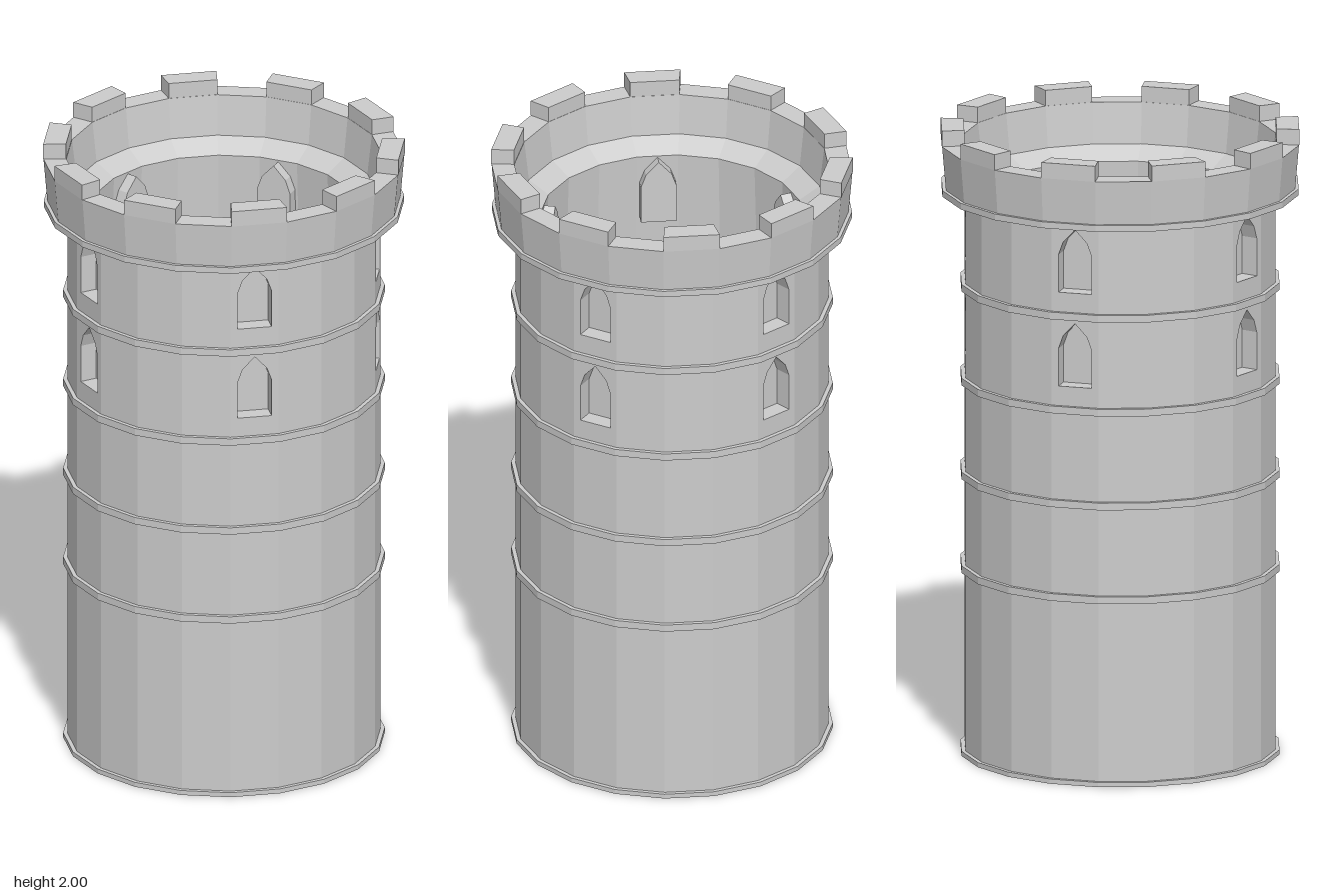
import * as THREE from 'three';
import { mergeGeometries } from 'three/addons/utils/BufferGeometryUtils.js';

const SIDES = 20;
const STEP = (Math.PI * 2) / SIDES;
const HALF = STEP / 2;
const WALL_R = 0.487;
const WALL_FACE = WALL_R * Math.cos(HALF); // distance from the axis to a flat wall face
const WINDOW_SILLS = [1.27, 1.57];

const stone = new THREE.MeshStandardMaterial({ color: 0xcccccc, flatShading: true });

function add(parent, name, geometry) {
  const mesh = new THREE.Mesh(geometry, stone);
  mesh.name = name;
  parent.add(mesh);
  return mesh;
}

// Twenty-sided turned part; points are [radius, height]
function turned(points) {
  return new THREE.LatheGeometry(points.map(([r, y]) => new THREE.Vector2(r, y)), SIDES);
}

// Pointed arch outline standing on y = sill, grown outwards by g
function traceArch(path, sill, g = 0) {
  const w = 0.054 + g, b = sill - g, spring = sill + 0.12, top = sill + 0.203 + g;
  path.moveTo(-w, b);
  path.lineTo(w, b);
  path.lineTo(w, spring);
  path.lineTo(w * 0.72, spring + (top - spring) * 0.5);
  path.lineTo(0, top);
  path.lineTo(-w * 0.72, spring + (top - spring) * 0.5);
  path.lineTo(-w, spring);
  path.closePath();
  return path;
}

function extrude(shape, from, to) {
  return new THREE.ExtrudeGeometry(shape, { depth: to - from, bevelEnabled: false }).translate(0, 0, from);
}

// One flat side of the tower, with or without window openings
function wallSide(hasWindows) {
  const w = WALL_R * Math.sin(HALF);
  const shape = new THREE.Shape([[-w, 0], [w, 0], [w, 1.8], [-w, 1.8]].map(([x, y]) => new THREE.Vector2(x, y)));
  if (hasWindows) WINDOW_SILLS.forEach((s) => shape.holes.push(traceArch(new THREE.Path(), s)));
  return new THREE.ShapeGeometry(shape).translate(0, 0, WALL_FACE);
}

export function createModel() {
  const tower = new THREE.Group();
  tower.name = 'tower';

  // Outer wall, every fourth side pierced by two windows
  const sides = [];
  for (let k = 0; k < SIDES; k++) {
    sides.push(wallSide(k % 4 === 3).rotateY(HALF + k * STEP));
  }
  add(tower, 'outerWall', mergeGeometries(sides));

  // Parapet with its lip, sloped inner ledge and the hollow inside down to the foot
  add(tower, 'parapetAndInnerWall', turned([
    [0.48, 1.79], [0.56, 1.79], [0.56, 1.81], [0.549, 1.81], [0.561, 1.95],
    [0.49, 1.95], [0.475, 1.82], [0.41, 1.78], [0.476, 0],
  ]));

  // Foot ring and string courses
  add(tower, 'footRing', turned([[0.476, 0], [0.5, 0], [0.5, 0.015], [0.486, 0.015]]));
  for (const y of [0.585, 0.885, 1.185, 1.485]) {
    add(tower, 'stringCourse', turned([[0.484, y], [0.5, y], [0.5, y + 0.023], [0.484, y + 0.023]]));
  }

  // Recessed pointed windows that stand out on the inside
  for (let m = 0; m < 5; m++) {
    const bay = new THREE.Group();
    bay.name = 'windowBay';
    bay.rotation.y = HALF + (4 * m + 3) * STEP;
    for (const sill of WINDOW_SILLS) {
      const frame = traceArch(new THREE.Shape(), sill, 0.002);
      frame.holes.push(traceArch(new THREE.Path(), sill));
      add(bay, 'windowFrame', extrude(frame, 0.37, WALL_FACE - 0.001));
      add(bay, 'windowPanel', extrude(traceArch(new THREE.Shape(), sill), 0.37, 0.425));
    }
    tower.add(bay);
  }

  // Merlons on every other side
  const corner = (r, s) => new THREE.Vector2(s * r * Math.sin(HALF), -r * Math.cos(HALF));
  const plan = new THREE.Shape([corner(0.562, -1), corner(0.562, 1), corner(0.491, 1), corner(0.491, -1)]);
  for (let m = 0; m < SIDES / 2; m++) {
    const merlon = add(tower, 'merlon', extrude(plan, 1.95, 2).rotateX(-Math.PI / 2));
    merlon.rotation.y = HALF + (2 * m + 1) * STEP;
  }

  return tower;
}
